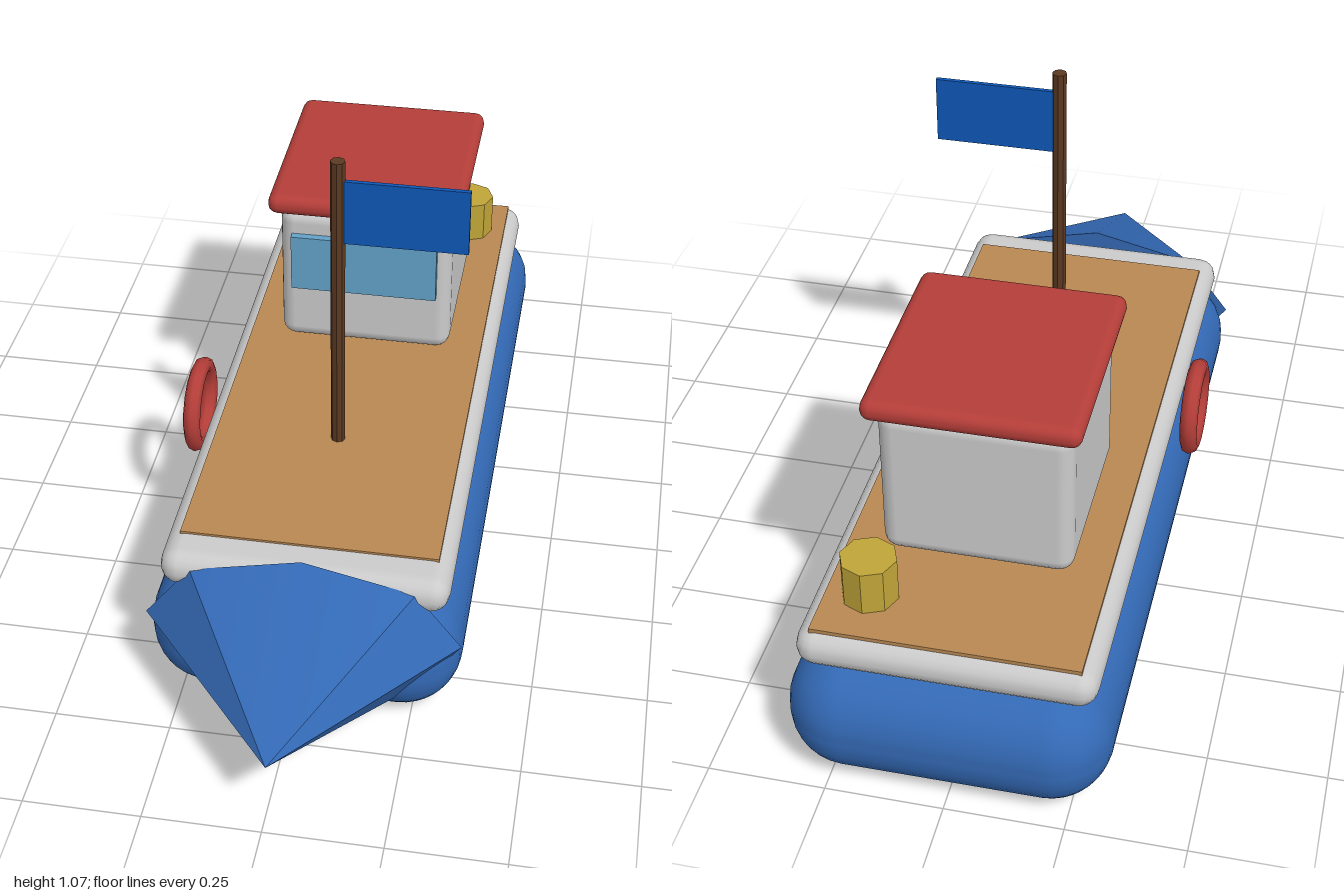
import * as THREE from 'three';
import { RoundedBoxGeometry } from 'three/addons/geometries/RoundedBoxGeometry.js';
import { toCreasedNormals } from 'three/addons/utils/BufferGeometryUtils.js';

const mat = (color, flatShading = false) => new THREE.MeshStandardMaterial({ color, flatShading });

const blue = mat(0x3369b5);
const white = mat(0xcccccc);
const wood = mat(0xb88852);
const red = mat(0xb53e39);
const glass = mat(0x63a2c8);
const gold = mat(0xc0a538, true);
const brown = mat(0x5c3a22, true);
const flagBlue = mat(0x0f58b8);

const CX = 0.012; // centreline of the boat

export function createModel() {
  const boat = new THREE.Group();
  boat.name = 'boat';

  const add = (name, geometry, material, x, y, z) => {
    const mesh = new THREE.Mesh(geometry, material);
    mesh.name = name;
    mesh.position.set(x, y, z);
    boat.add(mesh);
    return mesh;
  };
  // Box given by its x, y and z ranges; a radius rounds its edges
  const block = (name, material, [x0, x1], [y0, y1], [z0, z1], radius = 0, segments = 2) => {
    const size = [x1 - x0, y1 - y0, z1 - z0];
    const geometry = radius
      ? new RoundedBoxGeometry(...size, segments, radius)
      : new THREE.BoxGeometry(...size);
    return add(name, geometry, material, (x0 + x1) / 2, (y0 + y1) / 2, (z0 + z1) / 2);
  };

  // Hull, gunwale and deck
  block('hull', blue, [-0.325, 0.35], [0, 0.275], [-1, 0.67], 0.13, 4);
  block('gunwale', white, [-0.298, 0.321], [0.262, 0.348], [-0.937, 0.607], 0.042, 2);
  block('deck', wood, [-0.265, 0.29], [0.33, 0.353], [-0.91, 0.52]);

  // Bow: flattened eight-sided cone pointing forward
  const bow = new THREE.ConeGeometry(1, 0.4, 8);
  bow.rotateX(Math.PI / 2).scale(0.34, 0.187, 1);
  add('bow', toCreasedNormals(bow, 0.55), blue, CX, 0.188, 0.8);

  // Cabin
  block('cabin', white, [-0.19, 0.214], [0.352, 0.708], [-0.652, -0.225], 0.034);
  block('cabinRoof', red, [-0.213, 0.237], [0.708, 0.757], [-0.687, -0.195], 0.023);
  block('cabinWindow', glass, [-0.16, 0.182], [0.507, 0.648], [-0.235, -0.207]);

  // Mast and flag
  add('mast', new THREE.CylinderGeometry(0.016, 0.016, 0.73, 8), brown, CX, 0.707, 0.147);
  block('flag', flagBlue, [CX, 0.29], [0.875, 1.026], [0.142, 0.152]);

  // Life ring on the right side
  const ring = new THREE.TorusGeometry(0.092, 0.02, 8, 16);
  ring.rotateY(Math.PI / 2);
  add('lifeRing', ring, red, -0.335, 0.313, 0.023);

  // Barrel on the aft deck
  add('barrel', new THREE.CylinderGeometry(0.06, 0.06, 0.1, 8), gold, 0.198, 0.403, -0.785);

  return boat;
}
